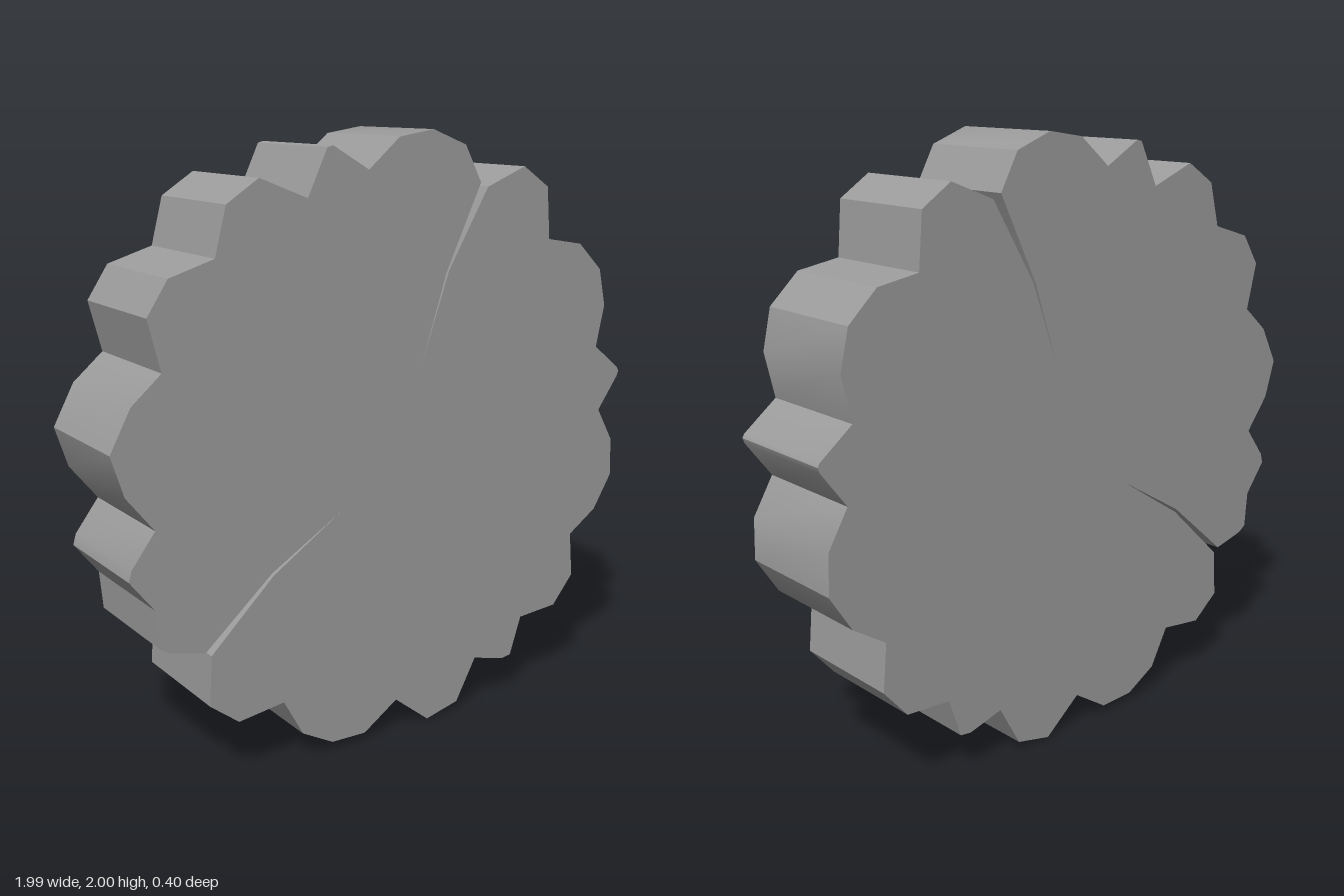
import * as THREE from 'three';
import { toCreasedNormals } from 'three/addons/utils/BufferGeometryUtils.js';

const DEPTH = 0.4;

// Outline [x, y], clockwise, in runs between the two radial cracks
const rightRim = [
  [0.355, 1.815], [0.51, 1.875], [0.615, 1.805], [0.63, 1.63], [0.775, 1.605], [0.875, 1.51],
  [0.905, 1.38], [0.873, 1.235], [0.985, 1.145], [0.992, 1.133], [0.985, 1.115], [0.9, 1],
  [0.97, 0.88], [0.975, 0.745], [0.9, 0.625], [0.785, 0.55], [0.8, 0.39], [0.715, 0.29],
  [0.555, 0.28], [0.51, 0.145], [0.47, 0.14], [0.345, 0.175], [0.265, 0.03], [0.135, 0],
  [0, 0.11], [-0.13, 0.025], [-0.26, 0.03], [-0.375, 0.095], [-0.445, 0.225], [-0.61, 0.205],
  [-0.71, 0.285], [-0.7, 0.45],
];
const lowerCrack = [[-0.475, 0.662], [-0.22, 0.825], [-0.48, 0.671]];
const leftRim = [
  [-0.72, 0.465], [-0.84, 0.495], [-0.87, 0.515], [-0.88, 0.64], [-0.96, 0.745], [-0.95, 0.78],
  [-0.87, 0.885], [-0.96, 1], [-1, 1.13], [-0.93, 1.26], [-0.83, 1.345], [-0.87, 1.505],
  [-0.8, 1.61], [-0.65, 1.655], [-0.61, 1.805], [-0.5, 1.875], [-0.335, 1.81], [-0.265, 1.955],
  [-0.245, 1.96], [-0.115, 1.885], [0, 1.98], [0.13, 2], [0.26, 1.95], [0.325, 1.83],
];
const upperCrack = [[0.189, 1.55], [0.095, 1.265], [0.2, 1.556]];

export function createModel() {
  const group = new THREE.Group();
  group.name = 'scallopedDisc';

  // Thick slab with a scalloped rim, cracked inward at two places
  const outline = [...rightRim, ...lowerCrack, ...leftRim, ...upperCrack];
  const shape = new THREE.Shape(outline.map(([x, y]) => new THREE.Vector2(x, y)));
  const slab = new THREE.ExtrudeGeometry(shape, { depth: DEPTH, bevelEnabled: false });
  slab.translate(0, 0, -DEPTH / 2);

  // Soften only the shallow bends, keep notches and face edges sharp
  const disc = new THREE.Mesh(
    toCreasedNormals(slab, 0.52),
    new THREE.MeshStandardMaterial({ color: 0x9b9b9b })
  );
  disc.name = 'crackedSlab';
  group.add(disc);
  return group;
}
